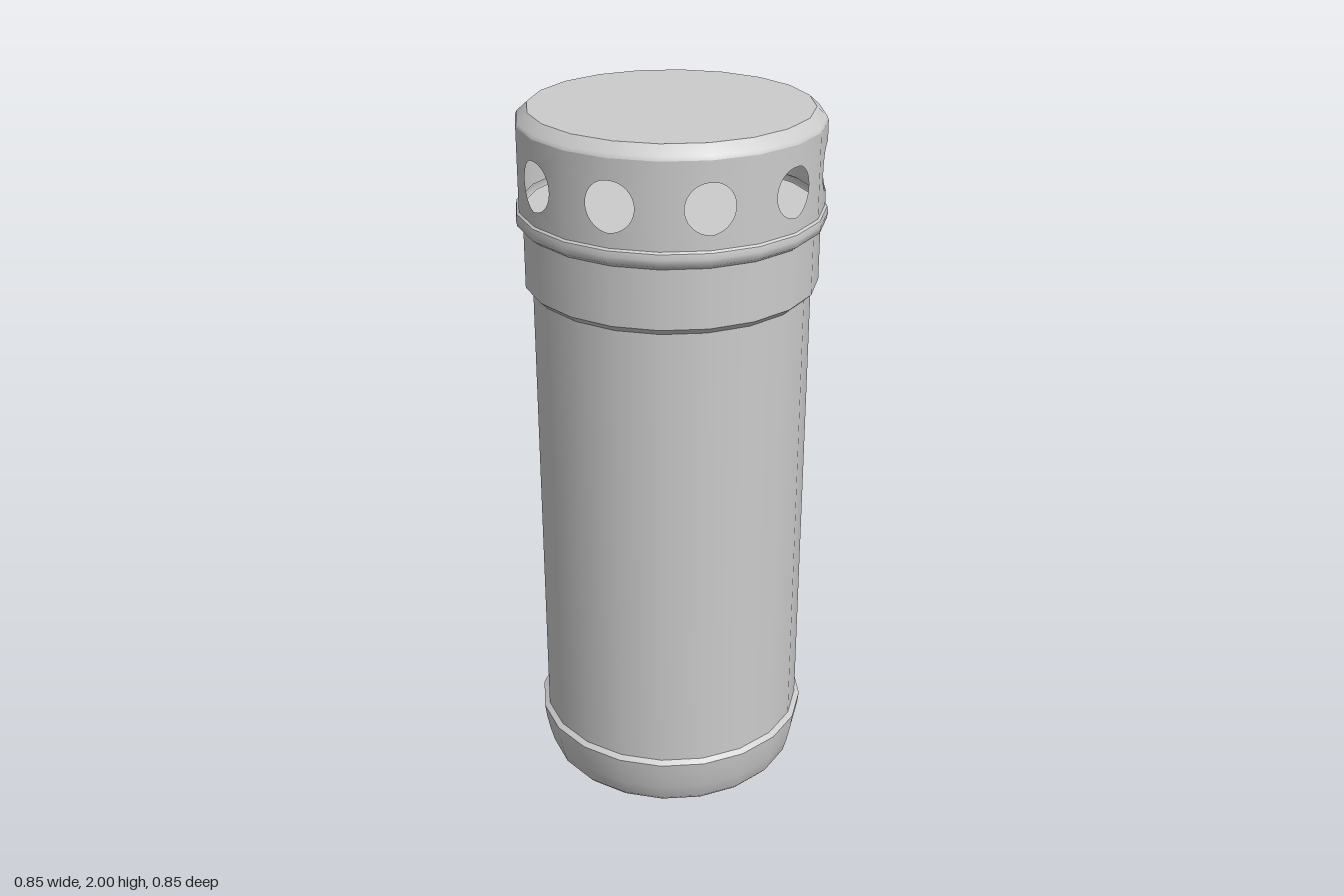
import * as THREE from 'three';
import { mergeGeometries } from 'three/addons/utils/BufferGeometryUtils.js';

const SIDES = 20;

export function createModel() {
  const model = new THREE.Group();
  const solid = new THREE.MeshStandardMaterial({ color: 0xcccccc });
  const thin = new THREE.MeshStandardMaterial({ color: 0xcccccc, side: THREE.DoubleSide });

  function add(name, geometry, material) {
    const mesh = new THREE.Mesh(geometry, material);
    mesh.name = name;
    model.add(mesh);
  }

  // Each profile is turned separately, so edges between profiles stay sharp
  function turned(name, profiles, material = solid) {
    const parts = profiles.map((profile) =>
      new THREE.LatheGeometry(profile.map(([r, y]) => new THREE.Vector2(r, y)), SIDES));
    add(name, mergeGeometries(parts), material);
  }

  // Rounded foot cup with a small lip
  turned('footCup', [
    [[0, 0], [0.36, 0]],
    [[0.36, 0], [0.373, 0.015], [0.385, 0.06], [0.395, 0.11], [0.4, 0.15]],
    [[0.4, 0.15], [0.385, 0.16]],
  ]);

  // Straight tube
  turned('body', [[[0.385, 0.14], [0.385, 1.52]]]);

  // Collar under the cap, closed on top
  turned('collar', [
    [[0.385, 1.503], [0.405, 1.522]],
    [[0.405, 1.522], [0.405, 1.72]],
    [[0.405, 1.72], [0, 1.72]],
  ]);

  // Flange at the lower edge of the cap
  turned('capFlange', [
    [[0.405, 1.685], [0.421, 1.697], [0.424, 1.715], [0.421, 1.73]],
    [[0.421, 1.73], [0.415, 1.735]],
  ], thin);

  // Cap wall: flat facets, each with half a round hole on one side
  const R = 0.415, low = 1.733, high = 1.965, holeY = 1.842, holeR = 0.067;
  const step = (2 * Math.PI) / SIDES;
  const width = 2 * R * Math.sin(step / 2);
  const facets = [];
  for (let i = 0; i < SIDES; i++) {
    const shape = new THREE.Shape();
    shape.moveTo(0, low);
    shape.lineTo(width, low);
    if (i % 2 === 0) shape.absarc(width, holeY, holeR, -Math.PI / 2, Math.PI / 2, true);
    shape.lineTo(width, high);
    shape.lineTo(0, high);
    if (i % 2 === 1) shape.absarc(0, holeY, holeR, Math.PI / 2, -Math.PI / 2, true);
    shape.closePath();
    const facet = new THREE.ShapeGeometry(shape, 12);
    facet.translate(-width / 2, 0, R * Math.cos(step / 2));
    facet.rotateY((i + 0.5) * step);
    facets.push(facet);
  }
  const wall = mergeGeometries(facets);
  const pos = wall.attributes.position;
  // Radial normals make the facets shade as one round wall
  for (let i = 0; i < pos.count; i++) {
    const n = new THREE.Vector3(pos.getX(i), 0, pos.getZ(i)).normalize();
    wall.attributes.normal.setXYZ(i, n.x, n.y, n.z);
  }
  add('capWall', wall, thin);

  // Bevelled rim and flat lid
  turned('capLid', [
    [[0.415, 1.965], [0.411, 1.975], [0.383, 2]],
    [[0.383, 2], [0, 2]],
  ], thin);

  return model;
}
